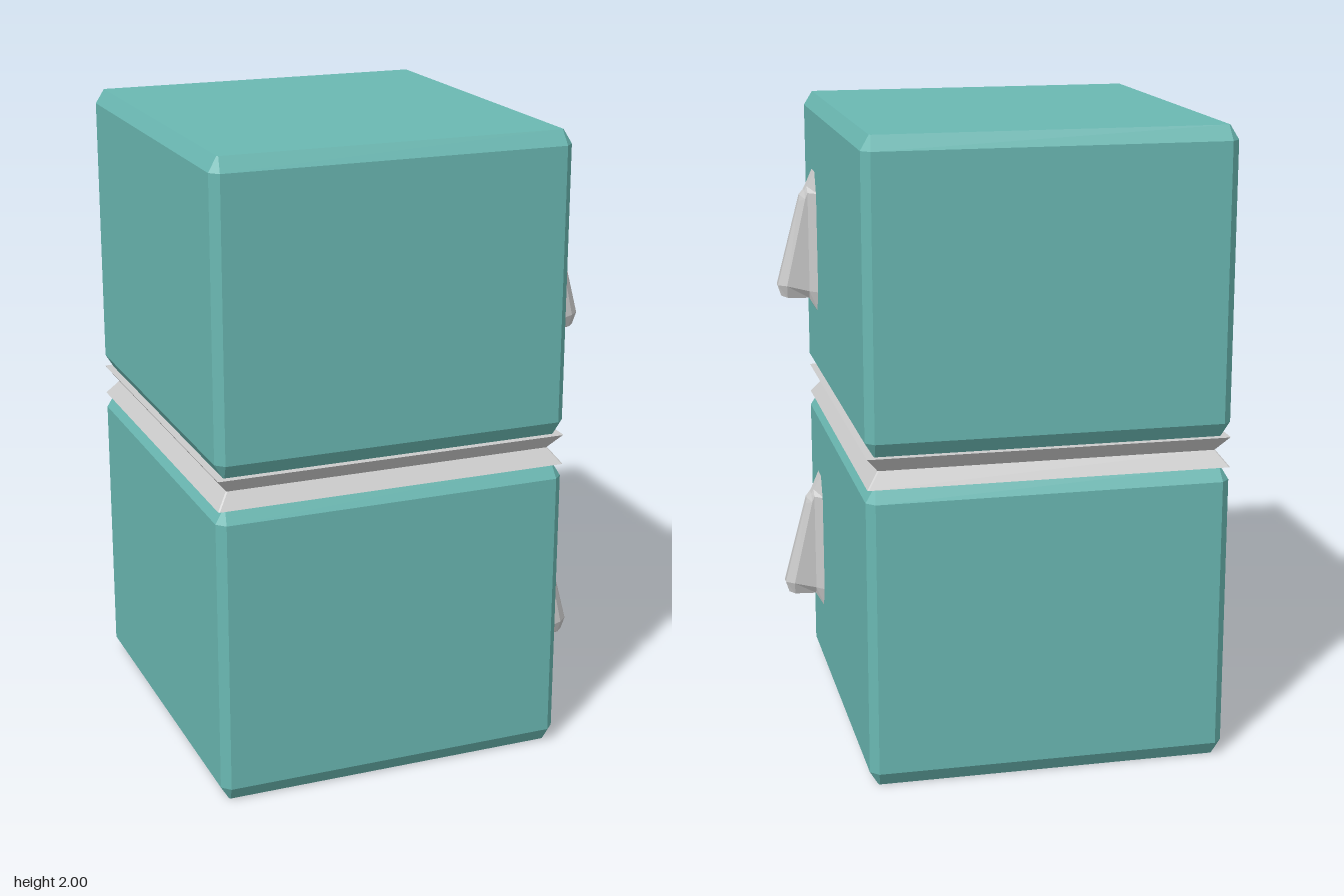
import * as THREE from 'three';

const teal = new THREE.MeshStandardMaterial({ color: 0x6ab8b2, flatShading: true });
const grey = new THREE.MeshStandardMaterial({ color: 0xcccccc, flatShading: true });

// Closed solid through cross-sections; each loop runs counter-clockwise seen from the far end
function loft(loops) {
  const pos = [];
  const tri = (...pts) => pts.forEach((p) => pos.push(...p));
  const n = loops[0].length;
  for (let k = 0; k < loops.length - 1; k++) {
    const a = loops[k], b = loops[k + 1];
    for (let i = 0; i < n; i++) {
      const j = (i + 1) % n;
      tri(a[i], a[j], b[j]);
      tri(a[i], b[j], b[i]);
    }
  }
  const first = loops[0], last = loops[loops.length - 1];
  for (let i = 1; i < n - 1; i++) {
    tri(first[0], first[i + 1], first[i]);
    tri(last[0], last[i], last[i + 1]);
  }
  const geo = new THREE.BufferGeometry();
  geo.setAttribute('position', new THREE.Float32BufferAttribute(pos, 3));
  geo.computeVertexNormals();
  return geo;
}

// Rectangle with cut corners at height y, shrunk by inset
const CX = -0.065, HX = 0.565, HZ = 0.613;
function slab(y, inset, cut) {
  const x = HX - inset, z = HZ - inset, c = cut;
  return [
    [x - c, z], [x, z - c], [x, -z + c], [x - c, -z],
    [-x + c, -z], [-x, -z + c], [-x, z - c], [-x + c, z],
  ].map(([px, pz]) => [CX + px, y, pz]);
}

// Handle section from four [x, y, half width] rows, top to bottom
function handleLoop(rows) {
  const near = rows.map(([x, y, w]) => [x, y, 0.402 + w]);
  const far = rows.map(([x, y, w]) => [x, y, 0.402 - w]).reverse();
  return [...near, ...far];
}

export function createModel() {
  const model = new THREE.Group();
  const add = (name, geo, mat, y = 0) => {
    const mesh = new THREE.Mesh(geo, mat);
    mesh.name = name;
    mesh.position.y = y;
    model.add(mesh);
  };

  // Two bevelled compartments
  const compartment = (y0, y1) => loft([
    slab(y0, 0.027, 0.004), slab(y0 + 0.045, 0, 0.026),
    slab(y1 - 0.045, 0, 0.026), slab(y1, 0.027, 0.004),
  ]);
  add('lowerCompartment', compartment(0, 0.955), teal);
  add('upperCompartment', compartment(1.05, 2), teal);

  // Pinched seal between the compartments
  add('seal', loft([slab(0.955, 0.003, 0.004), slab(1.003, 0.04, 0.004), slab(1.05, 0.003, 0.004)]), grey);

  // Wedge handles on the model's left side
  const handle = loft([
    [[0.495, 1.77, 0.035], [0.495, 1.69, 0.069], [0.495, 1.36, 0.069], [0.495, 1.285, 0.04]],
    [[0.525, 1.71, 0.02], [0.525, 1.69, 0.04], [0.525, 1.36, 0.04], [0.525, 1.335, 0.025]],
    [[0.533, 1.695, 0.02], [0.533, 1.67, 0.04], [0.6, 1.38, 0.04], [0.597, 1.338, 0.025]],
    [[0.548, 1.68, 0.012], [0.553, 1.66, 0.015], [0.628, 1.38, 0.015], [0.616, 1.343, 0.012]],
  ].map(handleLoop));
  add('upperHandle', handle, grey);
  add('lowerHandle', handle, grey, -1.048);

  return model;
}
